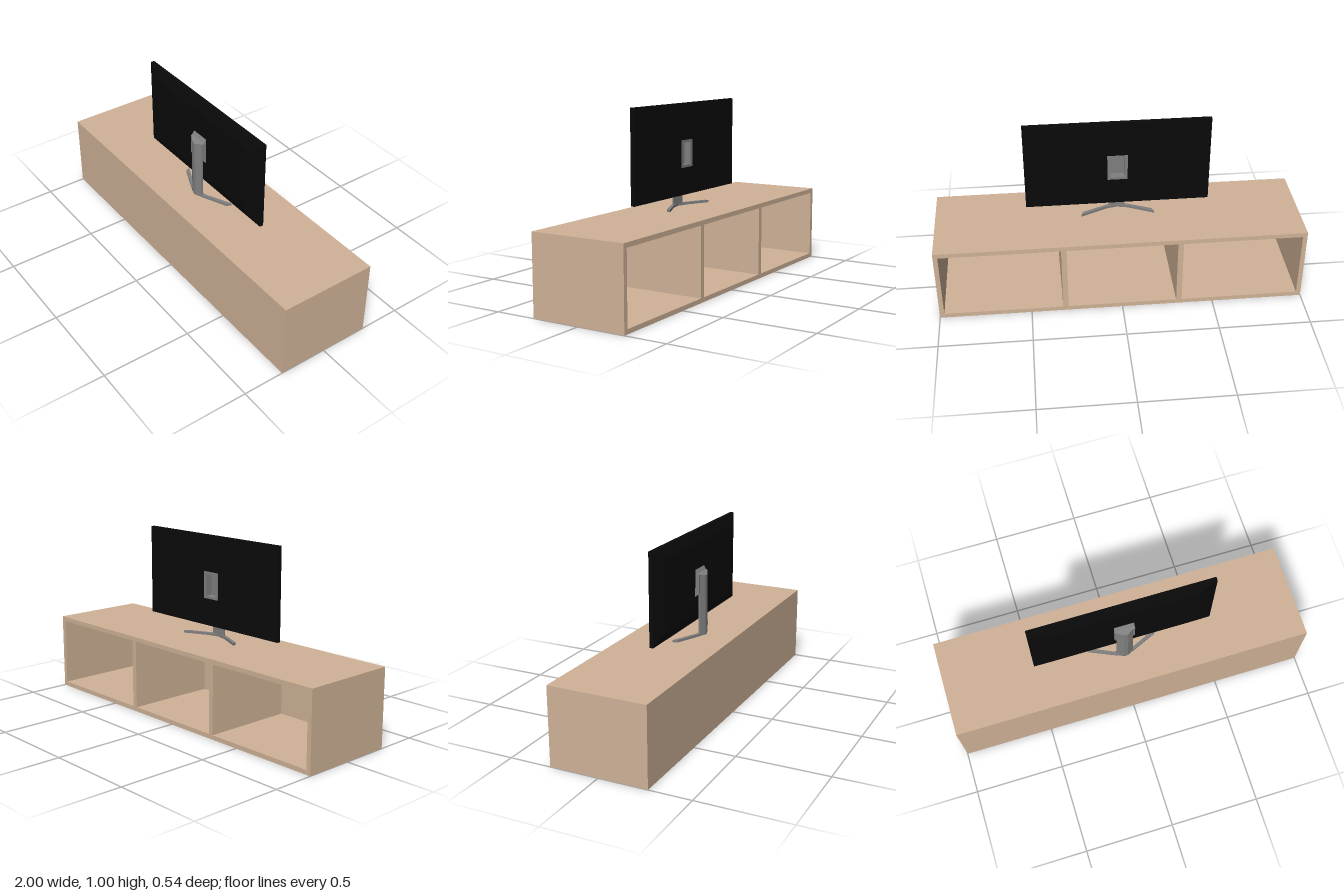
import * as THREE from 'three';

const wood = new THREE.MeshStandardMaterial({ name: 'wood', color: 0xd0b398 });
const grey = new THREE.MeshStandardMaterial({ name: 'standGrey', color: 0x808080 });
const black = new THREE.MeshStandardMaterial({ name: 'screenBlack', color: 0x0a0a0a });

function add(group, name, geometry, material, x = 0, y = 0, z = 0) {
  const mesh = new THREE.Mesh(geometry, material);
  mesh.name = name;
  mesh.position.set(x, y, z);
  group.add(mesh);
  return mesh;
}

const shapeOf = (pts) => new THREE.Shape(pts.map(([a, b]) => new THREE.Vector2(a, b)));
const extrude = (shape, depth, steps = 1) =>
  new THREE.ExtrudeGeometry(shape, { depth, steps, bevelEnabled: false });

// Rectangle centred on the origin with a centred rectangular hole
function frameShape(w, h, holeW, holeH) {
  const rect = (a, b) => [[-a / 2, -b / 2], [a / 2, -b / 2], [a / 2, b / 2], [-a / 2, b / 2]];
  const shape = shapeOf(rect(w, h));
  shape.holes.push(shapeOf(rect(holeW, holeH)));
  return shape;
}

// Symmetric plan outline: half is a list of [x, z] from front to back
function plan(half, height) {
  const mirrored = half.filter(([x]) => x > 0).map(([x, z]) => [-x, z]).reverse();
  const shape = shapeOf([...half, ...mirrored].map(([x, z]) => [x, -z]));
  return extrude(shape, height).rotateX(-Math.PI / 2);
}

function makeCabinet() {
  const g = new THREE.Group();
  g.name = 'cabinet';
  const W = 2, H = 0.43, D = 0.54, t = 0.025;
  const box = (w, h, d) => new THREE.BoxGeometry(w, h, d);
  add(g, 'topPanel', box(W, t, D), wood, 0, H - t / 2, 0);
  add(g, 'bottomPanel', box(W, t, D), wood, 0, t / 2, 0);
  add(g, 'frontPanel', box(W, H - 2 * t, t), wood, 0, H / 2, D / 2 - t / 2);
  for (const s of [1, -1]) {
    add(g, 'sidePanel', box(t, H - 2 * t, D - t), wood, s * (W / 2 - t / 2), H / 2, -t / 2);
    add(g, 'divider', box(0.03, H - 2 * t, D - t), wood, s * 0.313, H / 2, -t / 2);
  }
  return g;
}

function makeScreen() {
  // Slab whose front half tapers inward, with an opening for the mount
  const geo = extrude(frameShape(1, 0.5, 0.11, 0.15), 0.043, 2);
  const p = geo.attributes.position;
  for (let i = 0; i < p.count; i++) {
    if (p.getZ(i) > 0.04 && Math.abs(p.getX(i)) > 0.3) {
      p.setXY(i, p.getX(i) * 0.8, p.getY(i) * 0.76);
    }
  }
  geo.computeVertexNormals();
  geo.translate(0, -0.025 + 0.025, 0);
  return geo;
}

function makeStand() {
  const g = new THREE.Group();
  g.name = 'stand';

  // Swept V foot
  const foot = [[0, 0.105], [0.045, 0.09], [0.19, 0.026], [0.2, 0], [0.06, 0.065], [0, 0.078]];
  add(g, 'foot', plan(foot, 0.013), grey, 0, 0.43, 0);

  // Wedge-fronted post with a sloping top
  const post = plan([[0.012, 0.104], [0.045, 0.086], [0.045, 0.078]], 0.34);
  const p = post.attributes.position;
  for (let i = 0; i < p.count; i++) {
    if (p.getY(i) > 0.1) p.setY(i, 0.35 - (p.getZ(i) - 0.075) * 0.5);
  }
  post.computeVertexNormals();
  add(g, 'post', post, grey, 0, 0.43, 0);

  // Mount head: side profile in [z, y] extruded across
  const head = shapeOf([[0.06, 0.65], [0.063, 0.65], [0.079, 0.666], [0.085, 0.67],
    [0.085, 0.775], [0.075, 0.78], [0.063, 0.8], [0.06, 0.8]]);
  const headGeo = extrude(head, 0.11).translate(0, 0, -0.055).rotateY(-Math.PI / 2);
  add(g, 'mountHead', headGeo, grey);

  // Hollow sleeve passing through the screen
  add(g, 'mountSleeve', extrude(frameShape(0.11, 0.15, 0.076, 0.122), 0.042), grey, 0, 0.725, 0.019);
  return g;
}

export function createModel() {
  const model = new THREE.Group();
  model.name = 'mediaUnit';
  model.add(makeCabinet(), makeStand());
  // Mount opening sits slightly below the middle of the screen
  const screen = makeScreen();
  const p = screen.attributes.position;
  for (let i = 0; i < p.count; i++) {
    if (Math.abs(p.getX(i)) < 0.1) p.setY(i, p.getY(i) - 0.025);
  }
  add(model, 'screen', screen, black, 0, 0.75, 0.02);
  return model;
}
